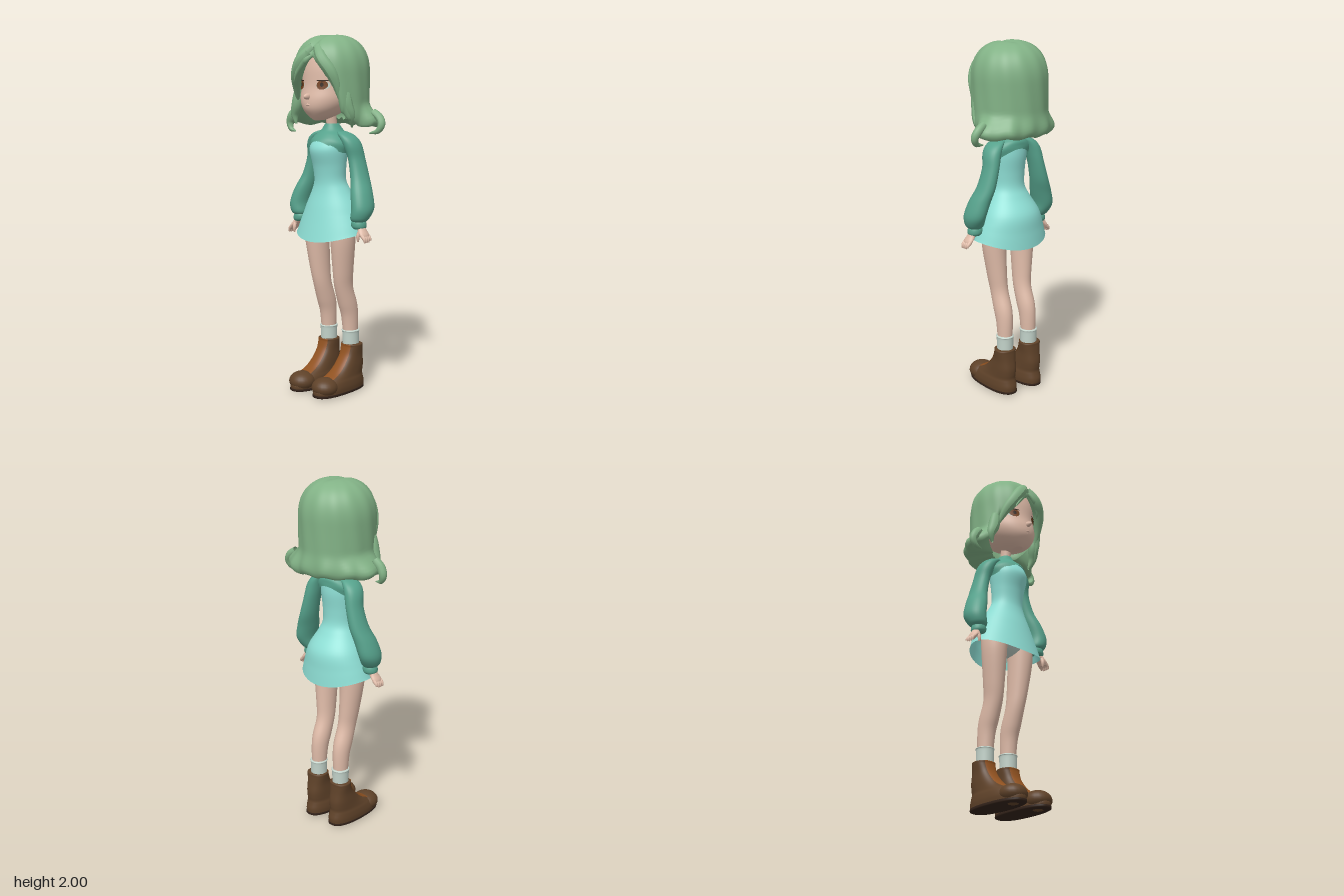
import * as THREE from 'three';

const mat = (name, color, side = THREE.FrontSide) => {
  const m = new THREE.MeshStandardMaterial({ color, side });
  m.name = name;
  return m;
};

// Surface from a rule fn(u, v); u runs around (left to right seen from outside), v runs upward
function grid(nu, nv, fn, wrap = true, caps = false) {
  const cols = wrap ? nu : nu + 1, pos = [], idx = [];
  for (let j = 0; j <= nv; j++)
    for (let i = 0; i < cols; i++) pos.push(...fn(i / nu, j / nv));
  for (let j = 0; j < nv; j++)
    for (let i = 0; i < nu; i++) {
      const a = j * cols + i, b = j * cols + (i + 1) % cols;
      idx.push(a, b, b + cols, a, b + cols, a + cols);
    }
  if (caps) for (const j of [0, nv]) {
    const c = [0, 0, 0], centre = pos.length / 3;
    for (let i = 0; i < cols; i++)
      for (let k = 0; k < 3; k++) c[k] += pos[(j * cols + i) * 3 + k] / cols;
    pos.push(...c);
    for (let i = 0; i < nu; i++) {
      const a = j * cols + i, b = j * cols + (i + 1) % cols;
      idx.push(...(j ? [a, b, centre] : [b, a, centre]));
    }
  }
  const g = new THREE.BufferGeometry();
  g.setAttribute('position', new THREE.Float32BufferAttribute(pos, 3));
  g.setIndex(idx);
  g.computeVertexNormals();
  return g;
}

// Smooth interpolation through rings [x, y, z, rx, rz]
function section(rings, t) {
  const n = rings.length - 1, f = Math.min(Math.max(t, 0), 1) * n;
  const i = Math.min(Math.floor(f), n - 1), w = f - i;
  const r = k => rings[Math.min(Math.max(k, 0), n)];
  return r(i).map((p1, k) => {
    const p0 = r(i - 1)[k], p2 = r(i + 1)[k], p3 = r(i + 2)[k];
    return p1 + 0.5 * w * (p2 - p0 + w * (2 * p0 - 5 * p1 + 4 * p2 - p3 + w * (3 * (p1 - p2) + p3 - p0)));
  });
}

// Loft of oval rings, bottom to top; pw > 2 makes the ovals squarer
function loft(rings, { seg = 32, rows = 28, pw = 2, t0 = 0, t1 = 1, a0 = -Math.PI, a1 = Math.PI, grow = 0, caps = true, lift } = {}) {
  const wrap = a1 - a0 > 6.28;
  const e = v => Math.sign(v) * Math.abs(v) ** (2 / pw);
  return grid(seg, rows, (u, v) => {
    const a = a0 + (a1 - a0) * u, [x, y, z, rx, rz] = section(rings, t0 + (t1 - t0) * v);
    return [x + (rx + grow) * e(Math.sin(a)), y + (lift ? lift(a, v) : 0), z + (rz + grow) * e(Math.cos(a))];
  }, wrap, wrap && caps);
}

// Tapered strand along a curve
function strand(points, radius, taper) {
  const curve = new THREE.CatmullRomCurve3(points.map(p => new THREE.Vector3(...p)));
  const n = 24, m = 12, g = new THREE.TubeGeometry(curve, n, radius, m), p = g.attributes.position, q = new THREE.Vector3();
  for (let i = 0; i <= n; i++) {
    const c = curve.getPointAt(i / n);
    for (let j = 0; j <= m; j++) {
      const k = i * (m + 1) + j;
      q.fromBufferAttribute(p, k).sub(c).multiplyScalar(taper(i / n)).add(c);
      p.setXYZ(k, q.x, q.y, q.z);
    }
  }
  g.computeVertexNormals();
  return g;
}

const HEAD = [[0, 1.535, .10, .022, .035], [0, 1.56, .075, .072, .085], [0, 1.60, .045, .117, .14], [0, 1.65, .03, .143, .158],
  [0, 1.72, .02, .15, .153], [0, 1.82, .01, .157, .155], [0, 1.9, 0, .14, .14], [0, 1.95, 0, .08, .08]];

// Depth of the face surface at (x, y)
function faceZ(x, y) {
  let lo = 0, hi = 1;
  for (let i = 0; i < 24; i++) {
    const t = (lo + hi) / 2;
    if (section(HEAD, t)[1] < y) lo = t; else hi = t;
  }
  const s = section(HEAD, lo);
  return s[2] + s[4] * Math.sqrt(Math.max(0, 1 - (x / s[3]) ** 2));
}

function facePatch(cx, cy, rx, ry, off) {
  const g = new THREE.RingGeometry(0.001, 1, 24, 4), p = g.attributes.position;
  for (let i = 0; i < p.count; i++) {
    const x = cx + p.getX(i) * rx, y = cy + p.getY(i) * ry;
    p.setXYZ(i, x, y, faceZ(x, y) + off);
  }
  g.computeVertexNormals();
  return g;
}

// Hair's lower edge height and flared radius, by angle from the front in degrees
const HEM = [[-180, 1.5], [-100, 1.5], [-78, 1.51], [-62, 1.55], [-53, 1.68], [-40, 1.71], [-25, 1.76], [-8, 1.84], [6, 1.875],
  [20, 1.84], [38, 1.76], [49, 1.71], [60, 1.58], [72, 1.53], [100, 1.5], [181, 1.5]];
const FLARE = [[-180, .228], [-140, .238], [-115, .265], [-95, .295], [-78, .285], [-62, .255], [-48, .21], [60, .21], [88, .225],
  [102, .285], [112, .3], [127, .28], [142, .268], [160, .24], [181, .228]];
function lookup(table, deg) {
  const i = Math.max(1, table.findIndex(h => h[0] >= deg)), [d0, h0] = table[i - 1], [d1, h1] = table[i];
  return h0 + (h1 - h0) * THREE.MathUtils.smoothstep(deg, d0, d1);
}

// The first rows fold in under the ends, the rest rise to the crown
function hairShell() {
  const step = THREE.MathUtils.smoothstep;
  return grid(128, 56, (u, v) => {
    const a = -Math.PI + 2 * Math.PI * u, deg = a * 180 / Math.PI, h = lookup(HEM, deg) + .006 * Math.sin(a * 11);
    const t = (v - .2) / .8, inner = v < .2, back = step(Math.abs(deg), 72, 105);
    const y = inner ? Math.min(h + (.1 - .06 * back) * (1 - v / .2), 1.95) : h + (2 - h) * Math.sin(t * Math.PI / 2);
    const q = Math.max(0, (y - 1.78) / .22);
    let r = .21 * Math.max(0, 1 - q ** 2.5) ** .4;
    // flared, wavy ends and a groove at the parting
    r += (1 - step(y, 1.515, 1.635)) * (lookup(FLARE, deg) - .21 + .005 * Math.sin(a * 11));
    r *= 1 + .008 * Math.sin(a * 13 + y * 8) - .05 * Math.exp(-(((a - .12) / .14) ** 2));
    r *= inner ? THREE.MathUtils.lerp(.8 - .5 * back, .9, v / .2) : 1 - .1 * Math.exp(-t / .04);
    const x = r * Math.sin(a), z = r * Math.cos(a);
    const dip = inner ? 0 : .014 * Math.exp(-(((x - .01) / .025) ** 2)) * step(z, -.12, .03);
    return [x, y - dip, z];
  });
}

export function createModel() {
  const root = new THREE.Group();
  const D = THREE.DoubleSide;
  const hair = mat('hairGreen', 0x82b286, D), dress = mat('dressAqua', 0x8fe0d6, D), jacket = mat('jacketTeal', 0x56a28c, D);
  const skin = mat('skin', 0xdfbba8), boot = mat('bootBrown', 0x5f4229), tongue = mat('tongueOrange', 0x8f5120, D);
  const pale = mat('paleCloth', 0xc3d3ca), dark = mat('darkBrown', 0x33231a, D), iris = mat('irisBrown', 0x74421f, D);
  const add = (name, geo, m, parent = root) => {
    const mesh = new THREE.Mesh(geo, m);
    mesh.name = name;
    parent.add(mesh);
  };
  const ball = (name, m, p, s, parent) => add(name, new THREE.SphereGeometry(1, 24, 16).scale(...s).translate(...p), m, parent);

  // Head and face
  add('head', loft(HEAD, { seg: 48, rows: 40 }), skin);
  add('neck', loft([[0, 1.45, -.01, .036, .04], [0, 1.51, 0, .028, .032], [0, 1.6, .01, .03, .035]]), skin);
  ball('nose', skin, [0, 1.664, .185], [.014, .017, .033]);
  ball('upperLip', skin, [0, 1.62, .182], [.018, .008, .01]);
  ball('lowerLip', skin, [0, 1.606, .177], [.014, .008, .01]);
  for (const s of [-1, 1]) {
    add('eyeWhite', facePatch(s * .077, 1.725, .033, .023, .002), pale);
    add('iris', facePatch(s * .075, 1.726, .027, .025, .004), iris);
    add('pupil', facePatch(s * .075, 1.728, .009, .012, .0055), dark);
    add('upperLash', facePatch(s * .077, 1.75, .03, .004, .006), dark);
  }

  // Hair: shell, swept fringe and hooked ends
  add('hairShell', hairShell(), hair);
  const lock = t => .25 + .75 * Math.sin(Math.PI * Math.min(1, t * .75 + .2)) - .2 * t;
  add('rightFringe', strand([[.005, 1.93, .145], [-.055, 1.86, .178], [-.1, 1.79, .168], [-.135, 1.72, .137], [-.158, 1.64, .105]], .04, lock), hair);
  add('rightFringeTip', strand([[-.01, 1.9, .165], [-.045, 1.84, .188], [-.075, 1.79, .196], [-.1, 1.745, .192]], .03, t => 1 - .9 * t), hair);
  add('leftFringe', strand([[.035, 1.93, .145], [.085, 1.865, .165], [.13, 1.8, .147], [.15, 1.73, .122], [.158, 1.64, .1]], .038, lock), hair);
  const hook = t => .35 + .65 * Math.sin(Math.PI * (.25 + .72 * t)) - .3 * t;
  add('rightHook', strand([[-.24, 1.59, .03], [-.275, 1.55, .04], [-.29, 1.51, .04], [-.275, 1.475, .045], [-.235, 1.465, .05]], .028, hook), hair);
  add('leftHook', strand([[.235, 1.58, -.08], [.275, 1.55, -.085], [.295, 1.515, -.08], [.28, 1.48, -.07], [.225, 1.465, -.06]], .026, hook), hair);
  add('rightFrontLock', strand([[-.165, 1.7, .09], [-.18, 1.62, .09], [-.2, 1.56, .09], [-.19, 1.51, .09]], .036, lock), hair);
  add('leftFrontLock', strand([[.17, 1.7, .07], [.175, 1.62, .06], [.185, 1.56, .04], [.17, 1.5, .02]], .034, lock), hair);

  // Dress with a hem that rises at the sides
  add('dress', loft([[0, .865, 0, .225, .165], [0, .95, -.007, .203, .153], [0, 1.05, -.014, .17, .137], [0, 1.14, .001, .12, .099],
    [0, 1.2, .012, .095, .083], [0, 1.28, .018, .099, .088], [0, 1.37, .024, .11, .104], [0, 1.43, .012, .105, .09]],
  { seg: 48, rows: 40, caps: false, lift: (a, v) => .045 * Math.sin(a) ** 2 * Math.max(0, 1 - v * 4) }), dress);
  ball('underwear', pale, [0, .965, 0], [.14, .075, .09]);

  // Short jacket, its lower edge arched over the chest
  add('jacket', loft([[0, 1.42, .015, .114, .104], [0, 1.438, .008, .125, .096], [0, 1.46, -.002, .1, .083], [0, 1.48, -.005, .063, .062], [0, 1.515, -.003, .035, .04]],
    { seg: 48, rows: 20, caps: false, lift: (a, v) => -.065 * Math.sin(a) ** 2 * (1 - v) ** 2 }), jacket);

  for (const s of [-1, 1]) {
    const side = rings => rings.map(([x, ...r]) => [x * s, ...r]);
    // Arm
    const arm = new THREE.Group();
    arm.name = s > 0 ? 'leftArm' : 'rightArm';
    root.add(arm);
    add('sleeve', loft(side([[.224, .985, .022, .034, .034], [.23, 1.005, .02, .05, .055], [.238, 1.06, .005, .055, .072], [.216, 1.14, -.01, .054, .07],
      [.186, 1.22, -.03, .046, .062], [.158, 1.32, -.034, .041, .056], [.141, 1.39, -.022, .045, .06], [.122, 1.43, -.014, .044, .058],
      [.095, 1.457, -.008, .038, .048], [.07, 1.472, -.005, .022, .03]]), { rows: 40 }), jacket, arm);
    add('cuff', loft(side([[.228, .948, .022, .033, .032], [.226, .96, .022, .042, .041], [.224, .98, .022, .042, .041], [.224, .996, .022, .034, .034]]), { rows: 10 }), jacket, arm);
    add('palm', loft(side([[.277, .9, .026, .014, .028], [.268, .92, .026, .019, .034], [.25, .945, .024, .022, .028], [.24, .965, .022, .02, .024]])), skin, arm);
    for (let i = 0; i < 4; i++) {
      const z = .003 + i * .015, drop = i === 0 ? .008 : 0;
      add('finger', strand([[s * .272, .915, z], [s * .289, .897, z], [s * .293, .878 + drop, z]], .011, t => 1 - .6 * t ** 3), skin, arm);
    }
    add('thumb', strand([[s * .25, .935, .045], [s * .247, .91, .053], [s * .247, .882, .053]], .011, t => 1 - .6 * t ** 3), skin, arm);

    // Leg
    const leg = new THREE.Group();
    leg.name = s > 0 ? 'leftLeg' : 'rightLeg';
    root.add(leg);
    add('leg', loft(side([[.085, .3, -.066, .04, .043], [.084, .42, -.06, .045, .052], [.083, .5, -.042, .049, .06], [.083, .6, -.01, .048, .058],
      [.09, .7, .003, .054, .064], [.1, .88, .015, .067, .075], [.095, 1, .01, .07, .08]])), skin, leg);
    add('sock', loft(side([[.086, .24, -.067, .046, .048], [.086, .325, -.067, .047, .05], [.086, .338, -.067, .051, .053], [.086, .344, -.067, .045, .047]])), pale, leg);
    // Boot with a bulging toe cap, a coloured tongue and a dark sole
    const B = side([[.09, .012, .038, .073, .184], [.09, .04, .036, .075, .184], [.09, .07, .02, .071, .16], [.09, .09, .002, .065, .138], [.09, .115, -.027, .062, .112],
      [.09, .15, -.05, .06, .09], [.09, .2, -.066, .057, .066], [.09, .245, -.072, .06, .055], [.09, .26, -.072, .06, .054], [.09, .264, -.07, .052, .048]]);
    add('boot', loft(B, { seg: 48, rows: 40, pw: 2.4 }), boot, leg);
    ball('toeCap', boot, [.09 * s, .05, .15], [.075, .054, .076], leg);
    add('bootTongue', loft(B, { seg: 12, rows: 24, pw: 2.4, t0: 3 / 9, t1: 8.4 / 9, a0: -.55, a1: .55, grow: .004 }), tongue, leg);
    add('sole', loft(side([[.09, 0, .038, .07, .18], [.09, .004, .038, .075, .188], [.09, .016, .038, .075, .188]]), { seg: 48, rows: 6, pw: 2.4 }), dark, leg);
  }
  return root;
}
